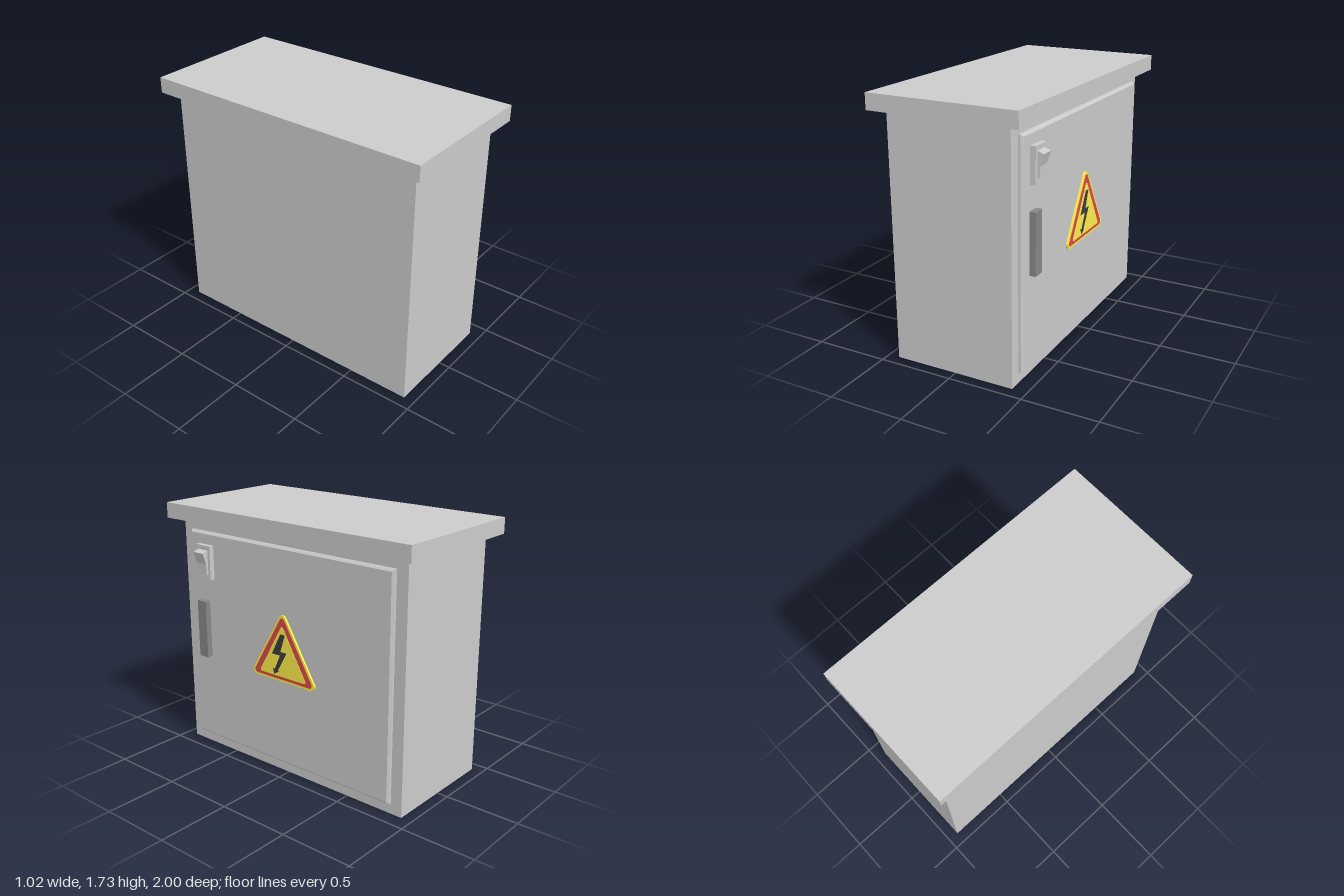
import * as THREE from 'three';

const DOOR_FACE = 0.43; // x of the door's outer face

export function createModel() {
  const model = new THREE.Group();
  model.name = 'electricalCabinet';

  const material = (color) => new THREE.MeshStandardMaterial({ color });
  const grey = material(0xcccccc), pale = material(0xe2e2e2), dark = material(0x888888);
  const yellow = material(0xffef4c), red = material(0xdc4a48), black = material(0x3c3c3c);

  function add(name, geometry, mat) {
    const mesh = new THREE.Mesh(geometry, mat);
    mesh.name = name;
    model.add(mesh);
    return mesh;
  }

  // Box given by its limits on each axis
  function box(name, [x0, x1], [y0, y1], [z0, z1], mat) {
    const mesh = add(name, new THREE.BoxGeometry(x1 - x0, y1 - y0, z1 - z0), mat);
    mesh.position.set((x0 + x1) / 2, (y0 + y1) / 2, (z0 + z1) / 2);
    return mesh;
  }

  // Plate drawn as (-z, y) and extruded outward along +x
  function plate(name, shape, x0, x1, mat) {
    const geometry = new THREE.ExtrudeGeometry(shape, {
      depth: x1 - x0, bevelEnabled: false, curveSegments: 8,
    });
    geometry.rotateY(Math.PI / 2).translate(x0, 0, 0);
    return add(name, geometry, mat);
  }

  // Isosceles triangle whose corners are arcs around the given centres
  function roundedTriangle(halfBase, bottom, top, r) {
    const a = Math.atan2(halfBase, top - bottom);
    const shape = new THREE.Shape();
    shape.absarc(0, top, r, a, Math.PI - a, false);
    shape.absarc(-halfBase, bottom, r, Math.PI - a, Math.PI * 1.5, false);
    shape.absarc(halfBase, bottom, r, Math.PI * 1.5, Math.PI * 2 + a, false);
    shape.closePath();
    return shape;
  }

  // Cabinet and overhanging roof
  box('body', [-0.425, 0.4], [0, 1.62], [-0.925, 0.925], grey);
  box('roof', [-0.515, 0.49], [1.62, 1.725], [-1, 1], grey);

  // Door with a chamfered outer edge
  box('doorBase', [0.4, 0.416], [0.072, 1.552], [-0.845, 0.845], grey);
  const chamfer = new THREE.BoxGeometry(0.014, 1.48, 1.69);
  const pos = chamfer.attributes.position;
  for (let i = 0; i < pos.count; i++) {
    if (pos.getX(i) > 0) {
      pos.setY(i, pos.getY(i) - Math.sign(pos.getY(i)) * 0.014);
      pos.setZ(i, pos.getZ(i) - Math.sign(pos.getZ(i)) * 0.014);
    }
  }
  const chamferFlat = chamfer.toNonIndexed();
  chamferFlat.computeVertexNormals();
  add('doorPanel', chamferFlat, grey).position.set(0.423, 0.812, 0);

  // Handle
  box('handle', [DOOR_FACE, 0.47], [0.68, 1.08], [0.68, 0.76], dark);

  // Switch housing and tilted rocker
  box('switchHousing', [DOOR_FACE, 0.465], [1.24, 1.47], [0.625, 0.755], pale);
  const rocker = new THREE.Shape([
    [0.465, 1.275], [0.48, 1.275], [0.482, 1.35], [0.507, 1.425], [0.465, 1.44],
  ].map(([x, y]) => new THREE.Vector2(x, y)));
  const rockerGeometry = new THREE.ExtrudeGeometry(rocker, { depth: 0.09, bevelEnabled: false });
  add('switchRocker', rockerGeometry, pale).position.z = 0.645;

  // Warning sign: stacked triangles and a bolt
  plate('signPlate', roundedTriangle(0.235, 0.695, 1.085, 0.03), DOOR_FACE, 0.444, yellow);
  plate('signBorder', roundedTriangle(0.226, 0.7, 1.078, 0.02), 0.444, 0.446, red);
  plate('signField', roundedTriangle(0.183, 0.712, 1.028, 0.012), 0.446, 0.448, yellow);
  const bolt = new THREE.Shape([
    [-0.012, 0.99], [0.025, 0.99], [-0.015, 0.87], [0.037, 0.87], [-0.042, 0.733], [-0.025, 0.735],
    [-0.073, 0.708], [-0.082, 0.748], [-0.068, 0.738], [-0.018, 0.845], [-0.088, 0.845],
  ].map(([u, y]) => new THREE.Vector2(u, y)));
  plate('signBolt', bolt, 0.448, 0.45, black);

  return model;
}
